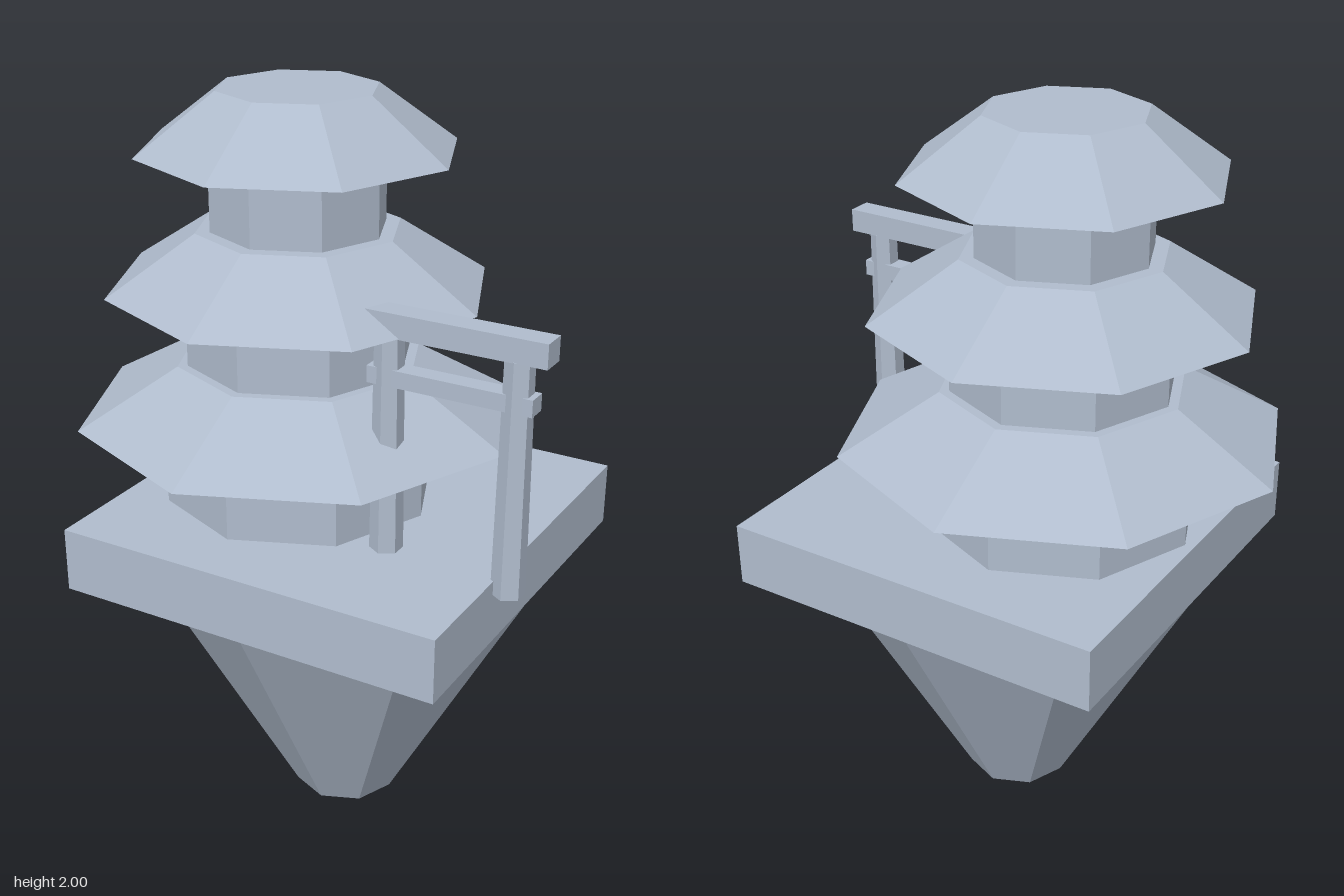
import * as THREE from 'three';

export function createModel() {
  const model = new THREE.Group();
  model.name = 'floatingPagoda';
  const stone = new THREE.MeshStandardMaterial({ color: 0xb0bccd, flatShading: true });
  stone.name = 'pale blue grey';

  function add(parent, name, geometry, x, y, z) {
    const mesh = new THREE.Mesh(geometry, stone);
    mesh.name = name;
    mesh.position.set(x, y, z);
    parent.add(mesh);
  }
  // Upright prism or frustum between two heights
  function frustum(parent, name, rTop, rBottom, y0, y1, sides, x, z) {
    const geometry = new THREE.CylinderGeometry(rTop, rBottom, y1 - y0, sides);
    add(parent, name, geometry, x, (y0 + y1) / 2, z);
  }

  // Base rock and square platform
  frustum(model, 'baseRock', 0.54, 0.145, 0, 0.73, 8, 0.045, 0);
  add(model, 'platform', new THREE.BoxGeometry(1.082, 0.175, 1.082), 0.045, 0.8175, 0);

  // Three octagonal storeys, each with a flared roof
  const tower = new THREE.Group();
  tower.name = 'tower';
  tower.position.x = -0.1;
  model.add(tower);
  const storeys = [
    { wall: 0.37, eave: 0.6, top: 0.33, y: [0.9, 1.135, 1.29] },
    { wall: 0.303, eave: 0.51, top: 0.272, y: [1.28, 1.49, 1.645] },
    { wall: 0.233, eave: 0.42, top: 0.21, y: [1.635, 1.845, 2] },
  ];
  storeys.forEach((s, i) => {
    frustum(tower, `wall${i + 1}`, s.wall, s.wall, s.y[0], s.y[1], 8, 0, 0);
    frustum(tower, `roof${i + 1}`, s.top, s.eave, s.y[1], s.y[2], 8, 0, 0);
  });

  // Gate with two hexagonal posts and two beams
  const gate = new THREE.Group();
  gate.name = 'gate';
  gate.position.set(0.443, 0, 0.197);
  model.add(gate);
  for (const side of [-1, 1]) {
    frustum(gate, side < 0 ? 'rightPost' : 'leftPost', 0.037, 0.044, 0.867, 1.49, 6, side * 0.171, 0);
  }
  add(gate, 'topBeam', new THREE.BoxGeometry(0.506, 0.063, 0.068), 0, 1.519, 0);
  add(gate, 'crossBeam', new THREE.BoxGeometry(0.438, 0.044, 0.053), 0, 1.381, 0);

  return model;
}
